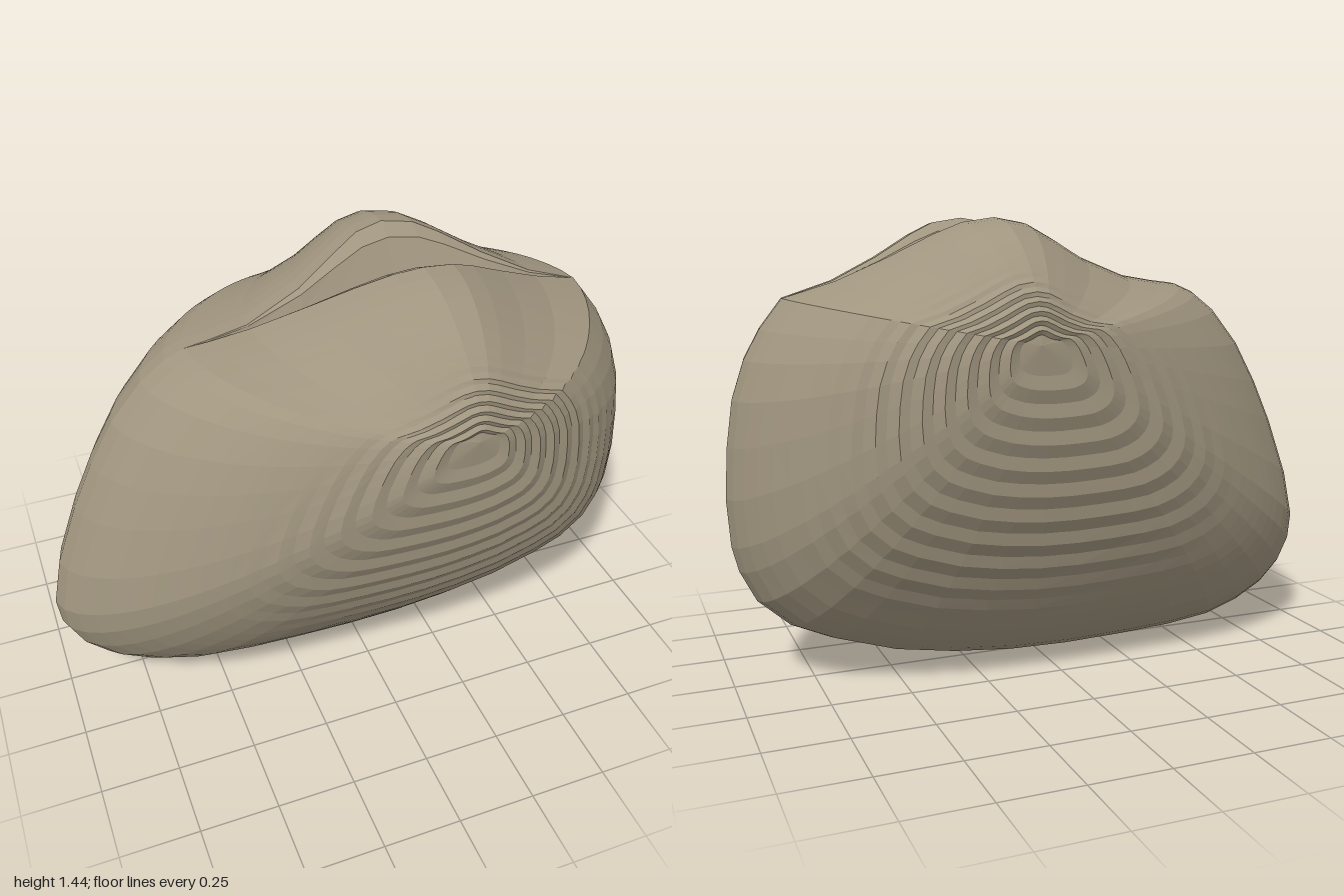
import * as THREE from 'three';

// Outline of one valve seen from the side, counter-clockwise from the rear end of the hinge
const OUTLINE = [
  [-.5, 1.225], [-.56, 1.2], [-.64, 1.14], [-.74, 1.02], [-.82, .88], [-.89, .73], [-.965, .53], [-1, .37],
  [-.99, .28], [-.95, .2], [-.88, .13], [-.78, .075], [-.66, .035], [-.5, .015], [-.3, .005], [-.1, 0],
  [.1, .005], [.3, .025], [.5, .06], [.7, .125], [.82, .18], [.92, .27], [.97, .37], [.99, .45], [1, .6],
  [.99, .76], [.97, .9], [.93, 1.02], [.88, 1.11], [.81, 1.2], [.65, 1.25], [.5, 1.32], [.37, 1.39],
  [.29, 1.425], [.19, 1.44], [.1, 1.425], [0, 1.38], [-.12, 1.32], [-.3, 1.255], [-.42, 1.235],
];
const APEX = { x: 0.2, y: 1.09 };
const DEPTH = 0.568;
const HINGE_START = 29; // outline points from here on lie above the hinge

// Height of the hinge line below the raised beak
function hingeY(x, y) {
  const t = (x + 0.5) / 1.31;
  return Math.min(y, 1.22 - 0.02 * t + 0.03 * Math.sin(Math.PI * t));
}

// Per-spoke values: beak height and width above the hinge, fullness of the dome, reach of the ridges
const SPOKES = OUTLINE.map(([x, y], i) => {
  const dx = x - APEX.x, dy = y - APEX.y, length = Math.hypot(dx, dy);
  const ux = dx / length, uy = dy / length;
  const beak = i >= HINGE_START ? y - hingeY(x, y) : 0;
  return {
    x, y, dx, dy, beak,
    lip: 0.16 * Math.pow(beak / 0.2, 1.2),
    fullness: 1.95 + 0.12 * ux + 0.25 * Math.max(0, uy),
    reach: 0.6 + 0.28 * Math.max(0, -uy) + 0.15 * ux,
  };
});

function createValve(side) {
  const rows = [];

  // Inner slope from the hinge line up to the beak
  for (const [rise, out] of [[0, 0], [0.3, 0.3], [0.85, 0.65]]) {
    rows.push(SPOKES.map((p) => [p.x, p.y - p.beak * (1 - rise), p.lip * out]));
  }

  // Domed shell: shrinking copies of the outline, with alternating ridge offsets
  const scales = [1, 0.985, 0.955, 0.915, 0.87];
  for (let s = 0.82; s > 0.05; s -= 0.037) scales.push(s);
  scales.push(0);
  scales.forEach((s, j) => {
    const step = s > 0 ? (j % 2 ? -0.0045 : 0.0045) : 0;
    rows.push(SPOKES.map((p) => {
      const dome = DEPTH * Math.pow(1 - Math.pow(s, p.fullness), 0.63);
      const fade = THREE.MathUtils.clamp((p.reach - s) * 4, 0, 1);
      const z = dome + p.lip * Math.pow(s, 4) + step * fade;
      return [APEX.x + p.dx * s, APEX.y + p.dy * s, z];
    }));
  });

  // Stitch the rows together
  const n = SPOKES.length;
  const positions = rows.flat().flatMap(([x, y, z]) => [x, y, z * side]);
  const index = [];
  for (let j = 0; j < rows.length - 1; j++) {
    for (let i = 0; i < n; i++) {
      const k = (i + 1) % n;
      const a = j * n + i, b = j * n + k, c = a + n, d = b + n;
      if (side > 0) index.push(a, b, c, b, d, c);
      else index.push(a, c, b, b, c, d);
    }
  }
  const geometry = new THREE.BufferGeometry();
  geometry.setAttribute('position', new THREE.Float32BufferAttribute(positions, 3));
  geometry.setIndex(index);
  geometry.computeVertexNormals();
  return geometry;
}

export function createModel() {
  const group = new THREE.Group();
  group.name = 'clam';
  const shell = new THREE.MeshStandardMaterial({ color: 0xa0957f, flatShading: true, side: THREE.DoubleSide });
  for (const [name, side] of [['frontValve', 1], ['backValve', -1]]) {
    const valve = new THREE.Mesh(createValve(side), shell);
    valve.name = name;
    group.add(valve);
  }
  return group;
}
